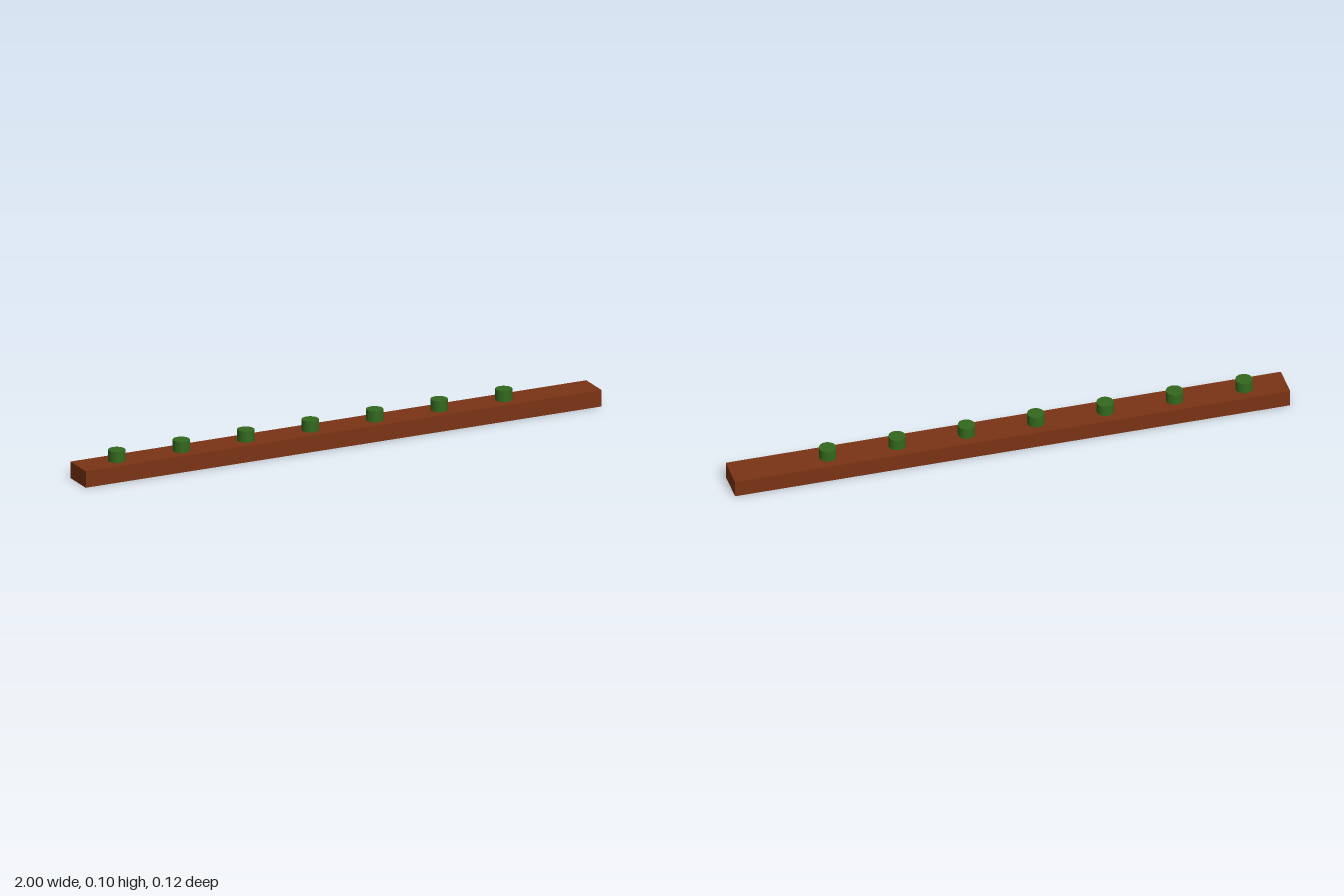
import * as THREE from 'three';

const LENGTH = 2, HEIGHT = 0.06, DEPTH = 0.12;
const PEG_RADIUS = 0.03, PEG_HEIGHT = 0.04;
const PEG_COUNT = 7, PEG_START = -0.85, PEG_SPACING = 0.25;

export function createModel() {
  const model = new THREE.Group();
  model.name = 'peggedBeam';

  const wood = new THREE.MeshStandardMaterial({ color: 0x7a3315 });
  const green = new THREE.MeshStandardMaterial({ color: 0x33691e });

  // Long beam resting on the ground
  const beam = new THREE.Mesh(new THREE.BoxGeometry(LENGTH, HEIGHT, DEPTH), wood);
  beam.name = 'beam';
  beam.position.y = HEIGHT / 2;
  model.add(beam);

  // Row of round pegs, evenly spaced from the right end of the beam
  const pegs = new THREE.Group();
  pegs.name = 'pegs';
  const pegGeometry = new THREE.CylinderGeometry(PEG_RADIUS, PEG_RADIUS, PEG_HEIGHT, 32);
  for (let i = 0; i < PEG_COUNT; i++) {
    const peg = new THREE.Mesh(pegGeometry, green);
    peg.name = `peg${i + 1}`;
    peg.position.set(PEG_START + i * PEG_SPACING, HEIGHT + PEG_HEIGHT / 2, 0);
    pegs.add(peg);
  }
  model.add(pegs);

  return model;
}
